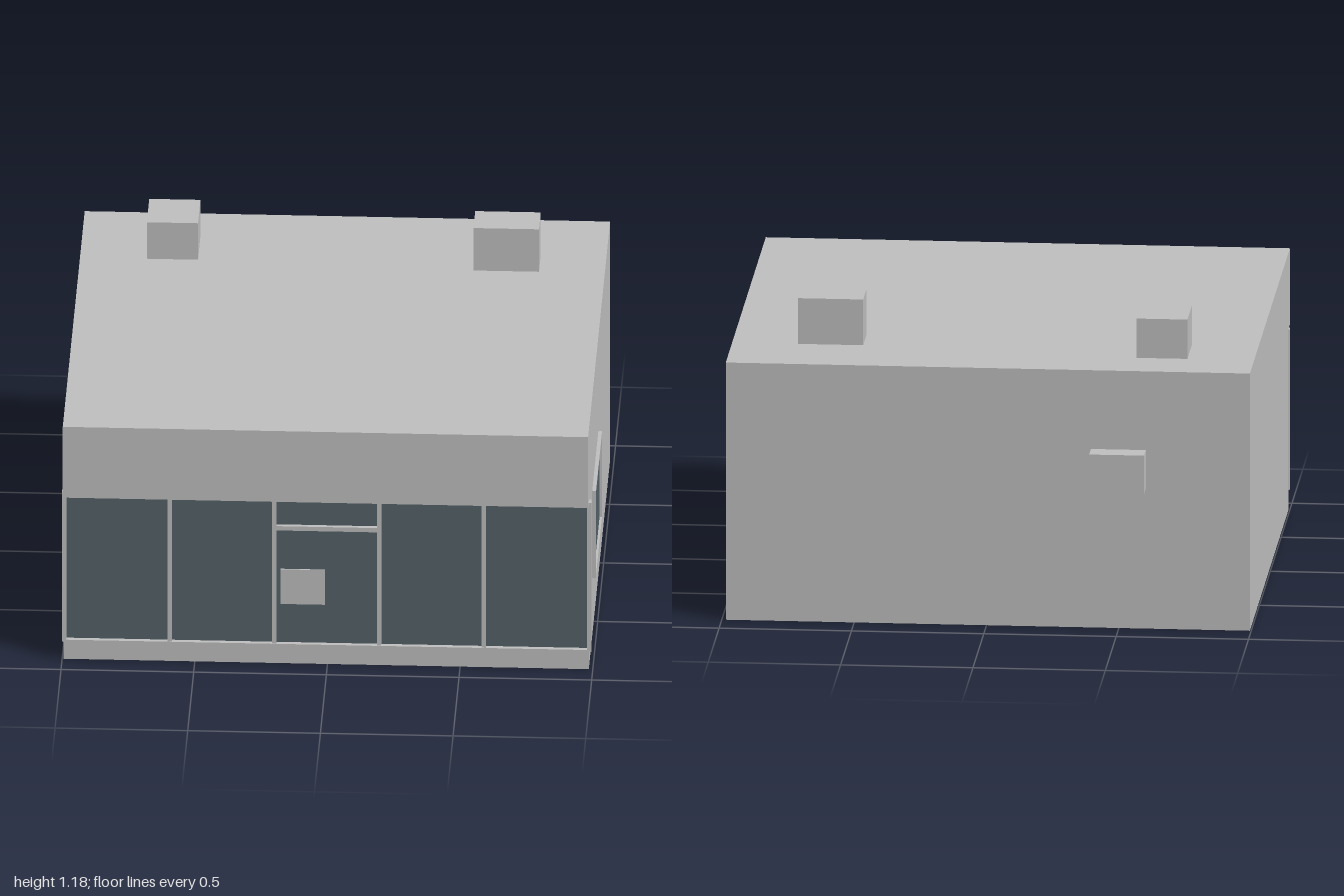
import * as THREE from 'three';

export function createModel() {
  const model = new THREE.Group();
  const wall = new THREE.MeshStandardMaterial({ color: 0xbfbfbf });
  wall.name = 'light grey';
  const glass = new THREE.MeshStandardMaterial({ color: 0x546269 });
  glass.name = 'blue grey glass';

  // Box given by its minimum and maximum on each axis
  function box(name, [x0, x1], [y0, y1], [z0, z1], material = wall, parent = model) {
    const mesh = new THREE.Mesh(new THREE.BoxGeometry(x1 - x0, y1 - y0, z1 - z0), material);
    mesh.position.set((x0 + x1) / 2, (y0 + y1) / 2, (z0 + z1) / 2);
    mesh.name = name;
    parent.add(mesh);
    return mesh;
  }

  const left = 0.985, right = -0.995, back = -0.875;

  // Shell: floor set slightly above the bottom edge of the walls
  const t = 0.02;
  box('floor', [right + t, left - t], [0.015, 0.08], [back + t, 0.89]);
  box('leftWall', [left - t, left], [0, 0.705], [back, 0.897]);
  box('rightWall', [right, right + t], [0, 0.705], [back, 0.897]);
  box('backWall', [right + t, left - t], [0, 0.705], [back, back + t]);
  box('frontPlinth', [right, left], [0, 0.08], [0.89, 0.908]);
  box('roofAndFascia', [right, left], [0.705, 1.002], [back, 0.967]);

  // Shop front: glazing, posts, rails and door
  const shopFront = new THREE.Group();
  shopFront.name = 'shopFront';
  model.add(shopFront);
  const posts = [-0.992, -0.594, -0.2, 0.195, 0.59, 0.987];
  const w = 0.008;
  posts.forEach((x) => box('post', [x - w, x + w], [0.08, 0.705], [0.893, 0.922], wall, shopFront));
  for (let i = 0; i < posts.length - 1; i++) {
    box('glassPane', [posts[i] + w, posts[i + 1] - w], [0.08, 0.705], [0.899, 0.906], glass, shopFront);
  }
  box('sill', [right, left], [0.078, 0.088], [0.893, 0.924], wall, shopFront);
  box('headRail', [right, left], [0.7, 0.705], [0.893, 0.922], wall, shopFront);
  box('doorTransom', [-0.192, 0.187], [0.563, 0.581], [0.893, 0.922], wall, shopFront);
  box('doorPanel', [-0.177, -0.01], [0.25, 0.395], [0.906, 0.912], wall, shopFront);

  // Side window with a thin projecting frame
  const sideWindow = new THREE.Group();
  sideWindow.name = 'sideWindow';
  model.add(sideWindow);
  const f = 0.008, depth = [0.98, 0.999];
  box('windowGlass', [left, left + 0.005], [0.25, 0.598], [0.115, 0.613], glass, sideWindow);
  box('frameBottom', depth, [0.25 - f, 0.25], [0.115 - f, 0.613 + f], wall, sideWindow);
  box('frameTop', depth, [0.598, 0.598 + f], [0.115 - f, 0.613 + f], wall, sideWindow);
  box('frameBack', depth, [0.25, 0.598], [0.115 - f, 0.115], wall, sideWindow);
  box('frameFront', depth, [0.25, 0.598], [0.613, 0.613 + f], wall, sideWindow);

  // Roof units and the rear wall unit
  box('roofUnitRight', [-0.743, -0.55], [1, 1.155], [-0.68, -0.48]);
  box('roofUnitLeft', [0.49, 0.737], [1, 1.18], [-0.58, -0.435]);
  box('rearWallUnit', [-0.603, -0.395], [0.548, 0.698], [-0.967, -0.885]);

  return model;
}
